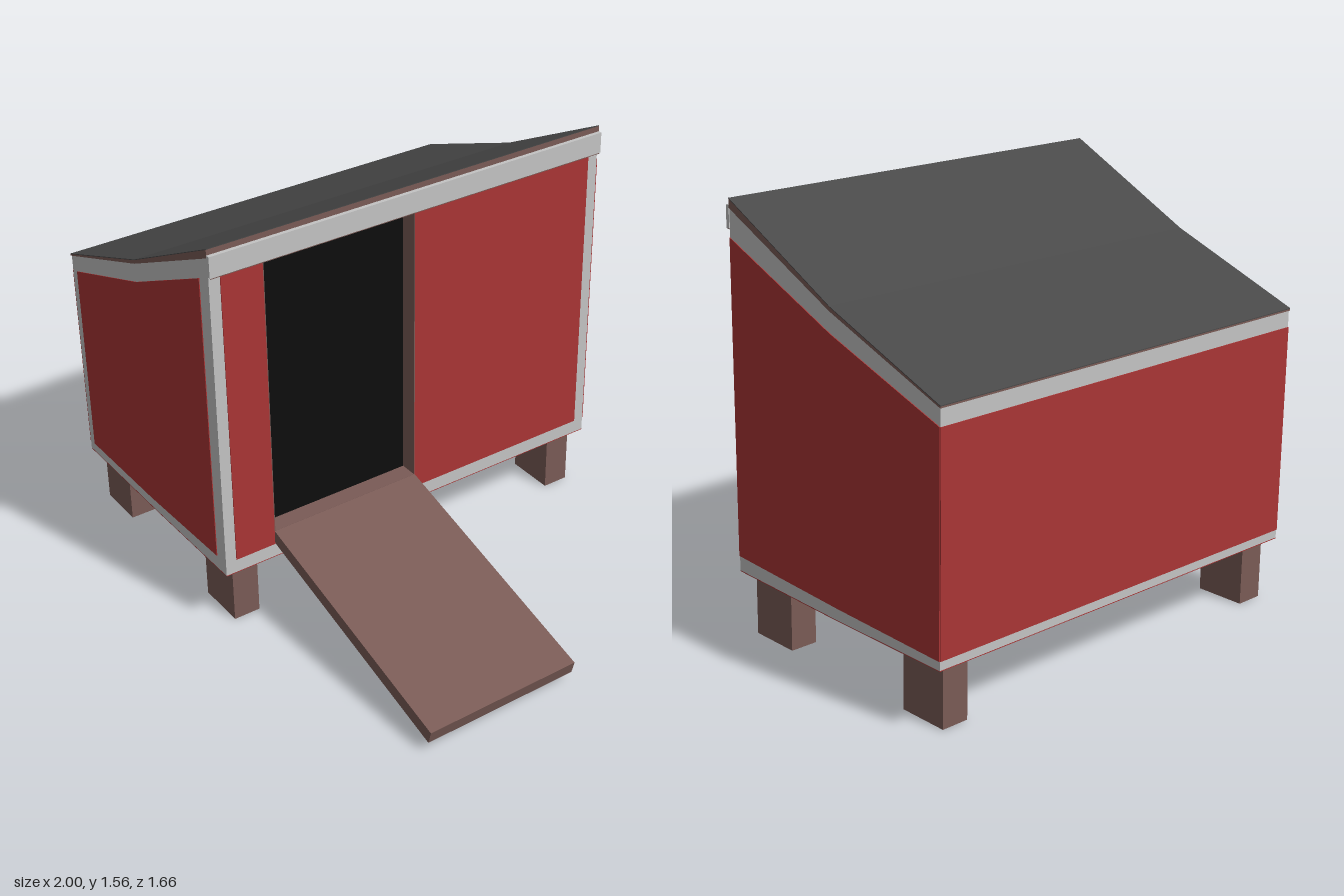
import * as THREE from 'three';

const paint = (name, color) => new THREE.MeshStandardMaterial({ name, color });

export function createModel() {
  const model = new THREE.Group();
  model.name = 'henHouse';
  const red = paint('barnRed', 0xaa3535);
  const grey = paint('trimGrey', 0xc4c4c4);
  const brown = paint('woodBrown', 0x7a5b56);
  const dark = paint('roofGrey', 0x494949);
  const black = paint('doorBlack', 0x0d0d0d);

  // Extrudes an x-y outline from z0 to z1
  function slab(name, points, z0, z1, material) {
    const shape = new THREE.Shape(points.map(([x, y]) => new THREE.Vector2(x, y)));
    const geometry = new THREE.ExtrudeGeometry(shape, { depth: z1 - z0, bevelEnabled: false });
    geometry.translate(0, 0, z0);
    const mesh = new THREE.Mesh(geometry, material);
    mesh.name = name;
    model.add(mesh);
  }

  // Box given by its limits on each axis
  function box(name, [x0, x1], [y0, y1], [z0, z1], material) {
    const mesh = new THREE.Mesh(new THREE.BoxGeometry(x1 - x0, y1 - y0, z1 - z0), material);
    mesh.position.set((x0 + x1) / 2, (y0 + y1) / 2, (z0 + z1) / 2);
    mesh.name = name;
    model.add(mesh);
  }

  const L = -0.997, R = 0.04, Z = 0.828, T = 0.003;
  const doorZ = 0.622, doorX = -0.03, sill = 0.35, head = 1.46;
  const floor = [[L, 0.23], [-0.48, 0.231], [R, 0.24]];
  const eaves = [[R, 1.53], [-0.48, 1.283], [L, 1.09]];

  // House body in three sections, the middle one notched for the door
  const outline = [...floor, ...eaves];
  const notch = [[R, sill], [doorX, sill], [doorX, head], [R, head]];
  slab('bodyRear', outline, -Z, 0, grey);
  slab('bodyDoorway', [...floor, ...notch, ...eaves], 0, doorZ, grey);
  slab('bodyFront', outline, doorZ, Z, grey);

  // Red wall panels
  slab('frontPanel', [[-0.96, 0.27], [-0.5, 0.274], [-0.02, 0.295],
    [-0.02, 1.43], [-0.48, 1.21], [-0.96, 1.04]], Z, Z + T, red);
  slab('backPanel', [[L, 0.262], [-0.5, 0.274], [R, 0.295],
    [R, 1.43], [-0.48, 1.21], [L, 1.03]], -Z - T, -Z, red);
  box('lowWallPanel', [L - T, L], [0.262, 1.03], [-Z, Z], red);
  const wall = [R, R + T], wallY = [0.295, 1.458];
  box('doorWallPanelRear', wall, wallY, [-0.785, 0], red);
  box('doorWallPanelFront', wall, wallY, [doorZ, 0.785], red);
  slab('underside', [...floor, ...floor.map(([x, y]) => [x, y - T]).reverse()], -Z, Z, red);

  // Door recess: dark opening with wooden lining
  const lining = [doorX, R + T];
  box('doorOpening', [doorX, doorX + T], [sill, head], [0, doorZ], black);
  box('doorJambRear', lining, [sill, head], [0, T], brown);
  box('doorJambFront', lining, [sill, head], [doorZ - T, doorZ], brown);
  box('doorHead', lining, [head - T, head], [0, doorZ], brown);
  box('doorSill', lining, [sill - 0.05, sill + T], [0, doorZ], brown);

  // Wedge-shaped roof boards and their dark covering
  const roofTop = [[-1, 1.096], [-0.48, 1.297], [R, 1.561]];
  slab('roofBoards', [[-1, 1.09], [-0.48, 1.283], [R, 1.53], ...roofTop.slice().reverse()],
    -Z - T, Z + T, brown);
  slab('roofCovering', [...roofTop, ...roofTop.map(([x, y]) => [x, y + T]).reverse()],
    -Z - T, Z + T, dark);
  box('fasciaBoard', [R, 0.055], [head, 1.54], [-Z - T, Z + T], grey);
  box('fasciaUnderside', [R, 0.055], [head - T, head], [-Z, Z], brown);

  // Ramp
  slab('ramp', [[R, 0.3], [0.986, 0.038], [1, 0.09], [R, 0.353]], 0, doorZ, brown);

  // Legs
  for (const z of [[0.68, 0.785], [-0.785, -0.68]]) {
    box('lowLeg', [-0.965, -0.775], [0, 0.231], z, brown);
    box('doorLeg', [-0.19, 0.005], [0, 0.238], z, brown);
  }
  return model;
}
